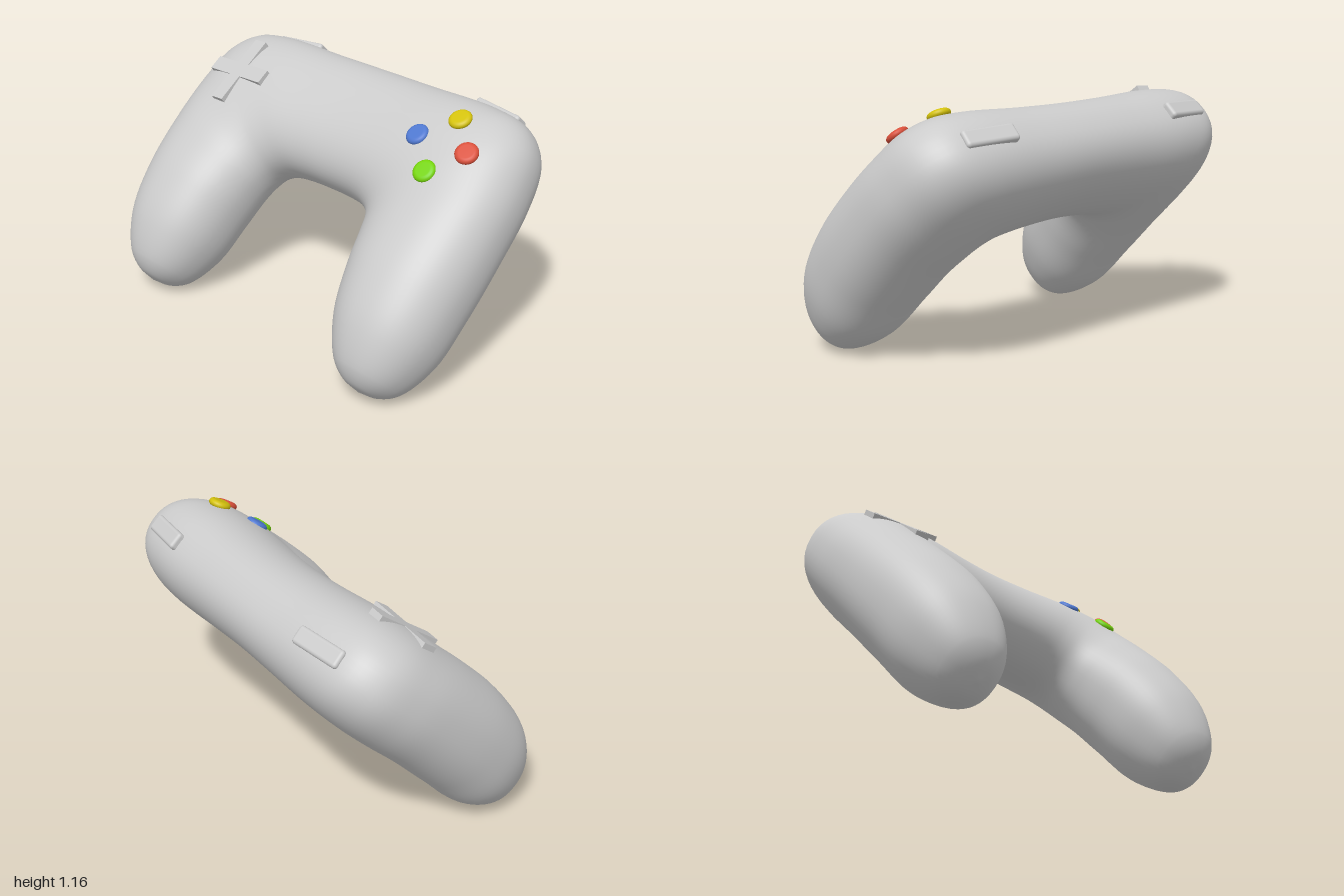
import * as THREE from 'three';
import { mergeVertices } from 'three/addons/utils/BufferGeometryUtils.js';
import { RoundedBoxGeometry } from 'three/addons/geometries/RoundedBoxGeometry.js';

const grey = new THREE.MeshStandardMaterial({ color: 0xcccccc });

// Half of the U-shaped body, grip tip to bridge:
// outer edge x, y, z, inner edge x, y, z, half depth
const HALF = [
  [0.71, -0.31, 0.394, 0.71, -0.31, 0.394, 0],
  [0.79, -0.293, 0.394, 0.63, -0.293, 0.394, 0.088],
  [0.868, -0.235, 0.398, 0.552, -0.235, 0.398, 0.165],
  [0.953, -0.06, 0.417, 0.462, -0.06, 0.417, 0.244],
  [0.99, 0.18, 0.44, 0.41, 0.16, 0.44, 0.266],
  [1.0, 0.5, 0.443, 0.38, 0.3, 0.443, 0.266],
  [0.988, 0.75, 0.433, 0.355, 0.37, 0.438, 0.265],
  [0.94, 0.95, 0.425, 0.325, 0.41, 0.44, 0.265],
  [0.835, 1.058, 0.416, 0.28, 0.438, 0.445, 0.262],
  [0.66, 1.096, 0.409, 0.22, 0.456, 0.447, 0.257],
  [0.3, 1.1, 0.402, 0.12, 0.466, 0.448, 0.244],
];
const MIDDLE = [0, 1.102, 0.4, 0, 0.468, 0.449, 0.238];

// Slightly squared oval sections lofted between the outer and inner edges
function bodyGeometry() {
  const mirrored = HALF.map(([ox, oy, oz, ix, iy, iz, d]) => [-ox, oy, oz, -ix, iy, iz, d]).reverse();
  const rows = [...HALF, MIDDLE, ...mirrored];
  const curve = (pick) => new THREE.CatmullRomCurve3(rows.map((r) => new THREE.Vector3(...pick(r))));
  const outer = curve((r) => r.slice(0, 3));
  const inner = curve((r) => r.slice(3, 6));
  const depth = curve((r) => [r[0], r[1], r[6]]);
  const soften = (v) => Math.sign(v) * Math.abs(v) ** 0.9;
  const rings = (rows.length - 1) * 6;
  const sides = 56;
  const positions = [];
  const index = [];
  for (let i = 0; i <= rings; i++) {
    const o = outer.getPoint(i / rings);
    const n = inner.getPoint(i / rings);
    const d = depth.getPoint(i / rings).z;
    for (let j = 0; j < sides; j++) {
      const a = (j / sides) * Math.PI * 2;
      const p = n.clone().lerp(o, (1 + soften(Math.cos(a))) / 2);
      positions.push(p.x, p.y, p.z + d * soften(Math.sin(a)));
      if (i === rings) continue;
      const k = i * sides + j;
      const m = i * sides + ((j + 1) % sides);
      // Single triangles close the two tips
      if (i === 0) index.push(k, k + sides, m + sides);
      else index.push(k, k + sides, m);
      if (i > 0 && i < rings - 1) index.push(m, k + sides, m + sides);
    }
  }
  const geometry = new THREE.BufferGeometry();
  geometry.setAttribute('position', new THREE.Float32BufferAttribute(positions, 3));
  geometry.setIndex(index);
  const merged = mergeVertices(geometry, 1e-5);
  merged.computeVertexNormals();
  return merged;
}

// Flat disc with a rounded rim, facing +z
function buttonGeometry(radius, half) {
  const points = [new THREE.Vector2(0, -half)];
  for (let i = 0; i <= 10; i++) {
    const a = -Math.PI / 2 + (i / 10) * Math.PI;
    points.push(new THREE.Vector2(radius - half * 1.2 + Math.cos(a) * half * 1.2, Math.sin(a) * half));
  }
  points.push(new THREE.Vector2(0, half));
  return new THREE.LatheGeometry(points, 36).rotateX(Math.PI / 2);
}

// Plus-shaped plate, top face at z = 0
function crossGeometry(reach, w, depth) {
  const corners = [
    [w, reach], [-w, reach], [-w, w], [-reach, w], [-reach, -w], [-w, -w],
    [-w, -reach], [w, -reach], [w, -w], [reach, -w], [reach, w], [w, w],
  ];
  const shape = new THREE.Shape(corners.map(([x, y]) => new THREE.Vector2(x, y)));
  return new THREE.ExtrudeGeometry(shape, { depth, bevelEnabled: false }).translate(0, 0, -depth);
}

export function createModel() {
  const model = new THREE.Group();
  model.name = 'gamepad';

  // Everything is laid out face-on, then leaned back
  const tilted = new THREE.Group();
  tilted.name = 'tiltedController';
  tilted.rotation.x = -Math.PI / 4;
  model.add(tilted);

  const add = (name, geometry, material, position, rotation = [0, 0, 0]) => {
    const mesh = new THREE.Mesh(geometry, material);
    mesh.name = name;
    mesh.position.set(...position);
    mesh.rotation.set(...rotation);
    tilted.add(mesh);
  };

  add('body', bodyGeometry(), grey, [0, 0, 0]);

  // Face buttons follow the curve of the shell
  const disc = buttonGeometry(0.054, 0.018);
  const buttons = [
    ['yellowButton', 0xd4c20c, [0.65, 0.928, 0.66], [-0.32, 0, 0]],
    ['redButton', 0xd94f3a, [0.785, 0.788, 0.68], [-0.17, 0.2, 0]],
    ['blueButton', 0x4f78d0, [0.505, 0.79, 0.684], [-0.17, -0.05, 0]],
    ['greenButton', 0x76d50c, [0.65, 0.643, 0.699], [-0.05, 0.05, 0]],
  ];
  for (const [name, color, position, rotation] of buttons) {
    add(name, disc, new THREE.MeshStandardMaterial({ color }), position, rotation);
  }

  // Direction pad
  add('directionPad', crossGeometry(0.184, 0.038, 0.06), grey, [-0.66, 0.782, 0.692], [-0.16, -0.08, 0]);

  // Shoulder buttons on the top edge
  const bar = new RoundedBoxGeometry(0.27, 0.075, 0.085, 3, 0.016);
  for (const [name, s] of [['leftShoulderButton', 1], ['rightShoulderButton', -1]]) {
    add(name, bar, grey, [s * 0.635, 1.077, 0.405], [0, s * -0.06, s * -0.12]);
  }
  return model;
}
